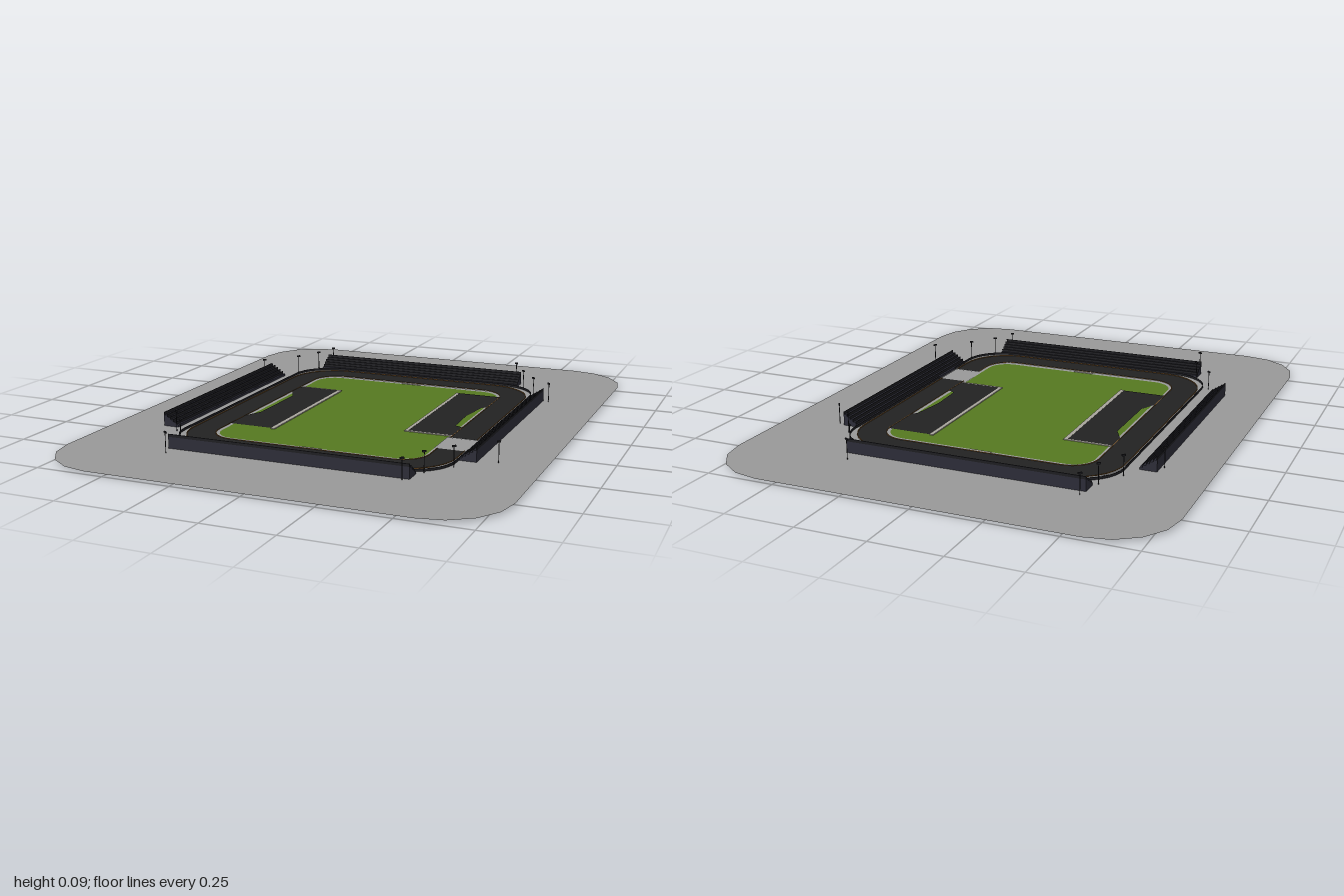
import * as THREE from 'three';

const mat = (name, color) => new THREE.MeshStandardMaterial({ name, color, side: THREE.DoubleSide });

export function createModel() {
  const model = new THREE.Group();
  const concrete = mat('concrete', 0x989898);
  const grass = mat('grass', 0x557820);
  const asphalt = mat('asphalt', 0x222222);
  const seating = mat('seating', 0x2b2b36);
  const steel = mat('dark steel', 0x1c1c20);
  const curb = mat('curb', 0xa8a49c);
  const trim = mat('brown trim', 0x7a5428);

  const add = (name, geometry, material, parent = model) => {
    const mesh = new THREE.Mesh(geometry, material);
    mesh.name = name;
    parent.add(mesh);
    return mesh;
  };
  const box = (name, material, x0, x1, y0, y1, z0, z1, parent) => {
    const g = new THREE.BoxGeometry(x1 - x0, y1 - y0, z1 - z0);
    g.translate((x0 + x1) / 2, (y0 + y1) / 2, (z0 + z1) / 2);
    return add(name, g, material, parent);
  };
  const vecs = pts => pts.map(([x, z]) => new THREE.Vector2(x, -z));

  // Rounded rectangle running round from z = start to z = end on the +x side
  const loop = (hx, hz, r, start = 0, end = 0, steps = 8) => {
    const pts = [[hx, start]];
    [[1, 1], [-1, 1], [-1, -1], [1, -1]].forEach(([sx, sz], q) => {
      for (let i = 0; i <= steps; i++) {
        const a = (q + i / steps) * Math.PI / 2;
        pts.push([sx * (hx - r) + r * Math.cos(a), sz * (hz - r) + r * Math.sin(a)]);
      }
    });
    if (start !== end) pts.push([hx, end]);
    return pts;
  };
  // Flat sheet, or a raised slab when height is given
  const sheet = (name, material, pts, y, hole, height = 0) => {
    const shape = new THREE.Shape(vecs(pts));
    if (hole) shape.holes.push(new THREE.Path(vecs(hole)));
    const g = height
      ? new THREE.ExtrudeGeometry(shape, { depth: height, bevelEnabled: false })
      : new THREE.ShapeGeometry(shape);
    g.rotateX(-Math.PI / 2);
    g.translate(0, y, 0);
    return add(name, g, material);
  };

  // Surrounding ground, verge and infield
  sheet('ground', concrete, loop(0.8, 1, 0.235, 0, 0, 4), 0.01, loop(0.5, 0.6, 0.18));
  sheet('verge', concrete, loop(0.41, 0.51, 0.1), 0.0105, loop(0.385, 0.48, 0.08));
  sheet('infield', grass, loop(0.39, 0.486, 0.08), 0.011);

  // Track, open at the entry pad
  const open = [0.33, 0.19];
  sheet('track', asphalt,
    [...loop(0.5, 0.6, 0.18, ...open), ...loop(0.402, 0.505, 0.1, ...open).reverse()], 0.013);
  sheet('entryPad', concrete, [[0.39, 0.19], [0.505, 0.19], [0.505, 0.33], [0.39, 0.33]], 0.0125);

  // Thin edging along both sides of the track, and the outer barrier
  sheet('outerTrim', trim,
    [...loop(0.5015, 0.6015, 0.18, ...open), ...loop(0.499, 0.599, 0.178, ...open).reverse()], 0.013, null, 0.003);
  sheet('innerTrim', trim,
    [...loop(0.4035, 0.5065, 0.1, ...open), ...loop(0.401, 0.504, 0.099, ...open).reverse()], 0.013, null, 0.002);
  sheet('barrier', steel,
    [...loop(0.513, 0.612, 0.15, ...open), ...loop(0.511, 0.61, 0.148, ...open).reverse()], 0.012, null, 0.009);

  // Paddocks with a notch of grass beside the track
  sheet('leftPaddock', asphalt, [
    [0.41, 0.168], [0.235, 0.168], [0.235, -0.418], [0.41, -0.418],
    [0.41, -0.25], [0.385, -0.235], [0.366, -0.1], [0.372, 0.04], [0.41, 0.06]], 0.014);
  sheet('rightPaddock', asphalt, [
    [-0.405, -0.27], [-0.235, -0.27], [-0.235, 0.325], [-0.405, 0.325],
    [-0.405, 0.215], [-0.37, 0.14], [-0.368, -0.125], [-0.405, -0.2]], 0.014);

  // Paddock curbs, sunk through the grass
  box('leftPaddockCurb', curb, 0.222, 0.235, 0.012, 0.0145, -0.42, 0.175);
  box('leftPaddockEnd', curb, 0.222, 0.4, 0.012, 0.0145, 0.166, 0.175);
  box('rightPaddockCurb', curb, -0.235, -0.22, 0.012, 0.0145, -0.278, 0.33);
  box('rightPaddockEnd', curb, -0.395, -0.22, 0.012, 0.0145, -0.278, -0.27);
  box('leftFooting', curb, 0.222, 0.226, 0, 0.013, -0.418, 0.172);
  box('leftFootingEnd', curb, 0.222, 0.385, 0, 0.013, 0.168, 0.172);
  box('rightFooting', curb, -0.224, -0.22, 0, 0.013, -0.275, 0.325);
  box('rightFootingEnd', curb, -0.385, -0.22, 0, 0.013, -0.275, -0.271);
  for (const z of [-0.496, 0.496]) {
    box('lineMarker', curb, -0.04, 0.04, 0.011, 0.0135, z - 0.007, z + 0.007);
  }

  // Stepped grandstands rising away from the track (built facing -z)
  const stand = (name, length, x, z, turn) => {
    const g = new THREE.Group();
    g.name = name;
    const rows = 5, depth = 0.06 / rows;
    for (let i = 0; i < rows; i++) {
      const z0 = -0.03 + i * depth, top = 0.019 + i * 0.008;
      box('step', seating, -length / 2, length / 2, 0.0095, top, z0, z0 + depth, g);
      box('seatBack', steel, -length / 2, length / 2, top, top + 0.01, z0 + depth - 0.003, z0 + depth, g);
    }
    g.position.set(x, 0, z);
    g.rotation.y = turn;
    model.add(g);
  };
  stand('frontStand', 0.88, -0.01, 0.645, 0);
  stand('backStand', 0.875, -0.022, -0.65, Math.PI);
  stand('leftStand', 0.87, 0.542, -0.01, Math.PI / 2);
  stand('rightStand', 0.87, -0.585, 0, -Math.PI / 2);

  // Light masts around the track, heads turned to the centre
  const masts = [
    [-0.45, -0.71], [0.38, -0.735], [0.595, -0.435], [0.64, 0.4], [0.41, 0.69],
    [-0.43, 0.725], [-0.627, -0.39], [-0.475, -0.61], [-0.525, -0.51], [0.445, -0.61],
    [0.515, -0.505], [0.52, 0.505], [0.45, 0.595], [-0.535, 0.48], [-0.455, 0.585]];
  for (const [x, z] of masts) {
    const g = new THREE.Group();
    g.name = 'lightMast';
    const pole = add('pole', new THREE.CylinderGeometry(0.0014, 0.0014, 0.075, 6), steel, g);
    pole.position.y = 0.0465;
    box('lampHead', steel, -0.007, 0.007, 0.08, 0.086, -0.002, 0.003, g);
    g.position.set(x, 0, z);
    g.rotation.y = Math.atan2(-x, -z);
    model.add(g);
  }
  return model;
}
